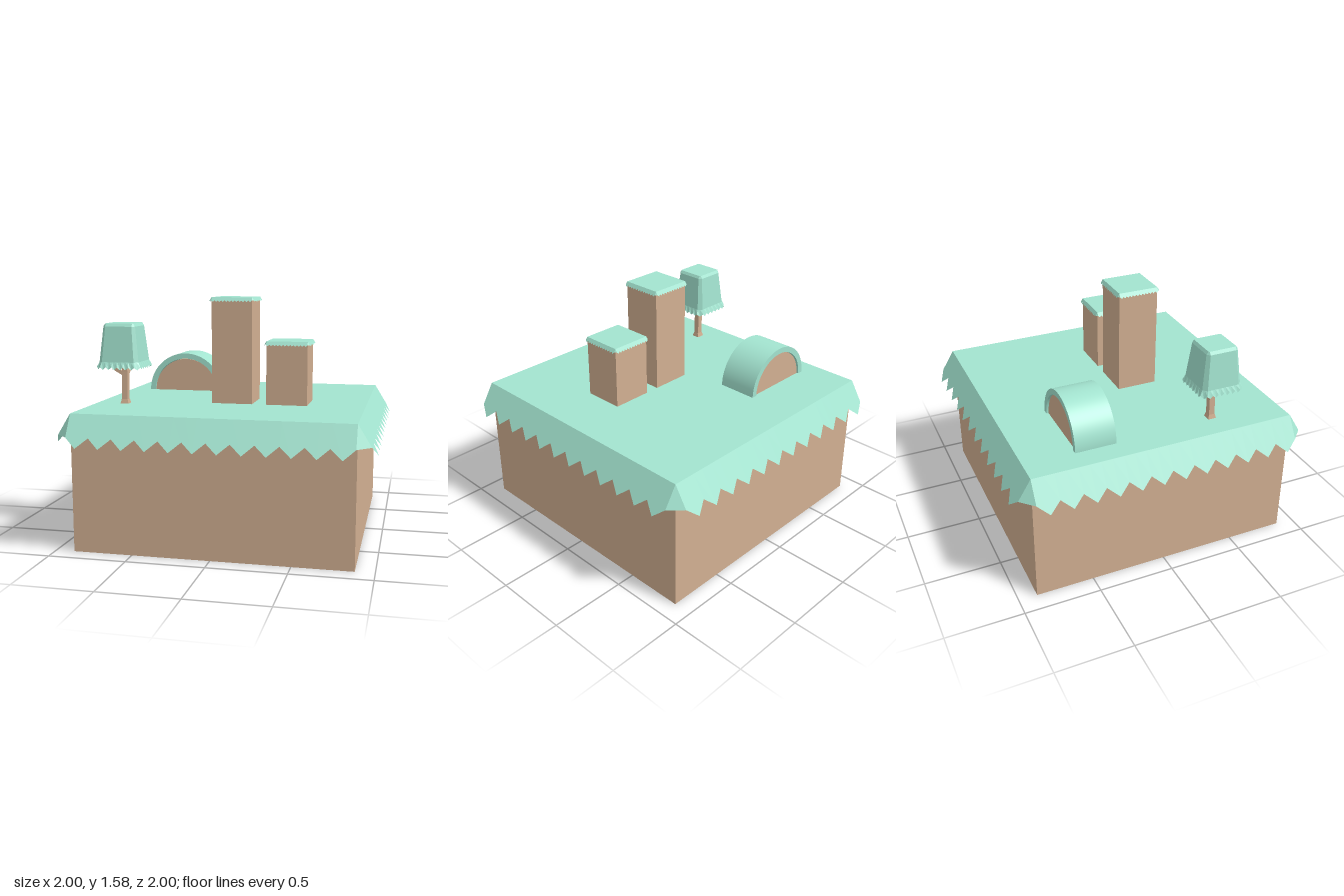
import * as THREE from 'three';
import { toCreasedNormals } from 'three/addons/utils/BufferGeometryUtils.js';

const soil = new THREE.MeshStandardMaterial({ color: 0xd2b092 });
const grass = new THREE.MeshStandardMaterial({ color: 0xa3e4d0, side: THREE.DoubleSide });
const HALF = 0.88;

function add(parent, name, geometry, material, x = 0, y = 0, z = 0) {
  const mesh = new THREE.Mesh(geometry, material);
  mesh.name = name;
  mesh.position.set(x, y, z);
  parent.add(mesh);
  return mesh;
}

// Unshared triangles give flat facets
function facets(points) {
  const g = new THREE.BufferGeometry().setFromPoints(points);
  g.computeVertexNormals();
  return g;
}

const quad = (out, tl, bl, br, tr) => out.push(tl, bl, br, tl, br, tr);

// Square turf sheet with a sloping zigzag skirt, top at y = 0
function turfGeometry() {
  const teeth = 12, steps = teeth * 2, pts = [];
  const v = (x, y, z) => new THREE.Vector3(x, y, z);
  const side = [];
  const rim = (i) => v(-HALF + (2 * HALF * i) / steps, 0, HALF);
  const hem = (i) => {
    const tip = i % 2 === 1;
    return v(rim(i).x, tip ? -0.195 : -0.135, HALF + (tip ? 0.12 : 0.083));
  };
  for (let i = 0; i < steps; i++) quad(side, rim(i), hem(i), hem(i + 1), rim(i + 1));
  // corner gusset
  side.push(v(HALF, 0, HALF), v(HALF, -0.135, HALF + 0.083), v(HALF + 0.083, -0.135, HALF));
  const up = v(0, 1, 0);
  for (let k = 0; k < 4; k++) {
    for (const p of side) pts.push(p.clone().applyAxisAngle(up, (k * Math.PI) / 2));
  }
  quad(pts, v(-HALF, 0, -HALF), v(-HALF, 0, HALF), v(HALF, 0, HALF), v(HALF, 0, -HALF));
  return facets(pts);
}

// Soil block covered with turf
function block(name, turf, half, bottom, top, x, z) {
  const group = new THREE.Group();
  group.name = name;
  const h = top - bottom - 0.002;
  add(group, name + 'Soil', new THREE.BoxGeometry(half * 2, h, half * 2), soil, x, bottom + h / 2, z);
  add(group, name + 'Turf', turf, grass, x, top, z).scale.setScalar(half / HALF);
  return group;
}

// Half-round mound: soil core under a curved turf band
function mound() {
  const group = new THREE.Group();
  group.name = 'mound';
  const band = new THREE.Shape();
  band.absarc(0, 0, 0.27, 0, Math.PI, false);
  band.absarc(0, 0, 0.232, Math.PI, 0, true);
  band.closePath();
  const core = new THREE.Shape();
  core.absarc(0, 0, 0.233, 0, Math.PI, false);
  core.closePath();
  const extrude = (shape, depth) =>
    toCreasedNormals(new THREE.ExtrudeGeometry(shape, { depth, bevelEnabled: false, curveSegments: 32 }), 0.5);
  add(group, 'moundTurf', extrude(band, 0.27), grass, -0.47, 0.885, -0.55);
  add(group, 'moundSoil', extrude(core, 0.24), soil, -0.47, 0.88, -0.535);
  return group;
}

// Chamfered square ring; zig lifts every second point into a fringe
function leafRing(half, flat, y, zig = 0) {
  const n = 12, ring = [], up = new THREE.Vector3(0, 1, 0);
  for (let k = 0; k < 4; k++) {
    const side = [];
    for (let i = 0; i <= n; i++) {
      side.push(new THREE.Vector3(-flat + (2 * flat * i) / n, y + (i % 2 ? 0 : zig), half));
    }
    const mid = (half + flat) / 2;
    side.push(new THREE.Vector3(mid, y, mid));
    for (const p of side) ring.push(p.applyAxisAngle(up, (k * Math.PI) / 2));
  }
  return ring;
}

function canopyGeometry() {
  const rings = [
    leafRing(0.096, 0.09, 1.413),
    leafRing(0.108, 0.089, 1.394),
    leafRing(0.133, 0.108, 1.165),
    leafRing(0.149, 0.116, 1.117, 0.016),
  ];
  const pts = [], n = rings[0].length, centre = new THREE.Vector3(0, 1.413, 0);
  for (let i = 0; i < n; i++) {
    const j = (i + 1) % n;
    pts.push(centre, rings[0][i], rings[0][j]);
    for (let r = 0; r < rings.length - 1; r++) {
      quad(pts, rings[r][i], rings[r + 1][i], rings[r + 1][j], rings[r][j]);
    }
  }
  return facets(pts);
}

// Square tapered limb between two points
function limb(parent, name, a, b, w0, w1) {
  const from = new THREE.Vector3(...a), to = new THREE.Vector3(...b);
  const dir = to.clone().sub(from);
  const g = new THREE.CylinderGeometry(w1 * Math.SQRT1_2, w0 * Math.SQRT1_2, dir.length(), 4).rotateY(Math.PI / 4);
  const mesh = add(parent, name, g.toNonIndexed(), soil);
  mesh.geometry.computeVertexNormals();
  mesh.position.copy(from).add(to).multiplyScalar(0.5);
  mesh.quaternion.setFromUnitVectors(new THREE.Vector3(0, 1, 0), dir.normalize());
}

function tree() {
  const group = new THREE.Group();
  group.name = 'tree';
  add(group, 'canopy', canopyGeometry(), grass);
  limb(group, 'trunkFoot', [0.003, 0.88, 0.003], [0.003, 0.91, 0.003], 0.056, 0.042);
  limb(group, 'trunk', [0.003, 0.905, 0.003], [0.005, 1.09, 0], 0.04, 0.037);
  limb(group, 'trunkTop', [0.005, 1.085, 0], [0.005, 1.18, 0.004], 0.037, 0.03);
  limb(group, 'leftBranch', [0, 1.075, 0], [-0.078, 1.115, 0], 0.026, 0.02);
  limb(group, 'leftTwig', [-0.073, 1.108, 0], [-0.088, 1.17, 0], 0.02, 0.016);
  limb(group, 'backBranch', [0.003, 1.062, 0], [0.003, 1.105, -0.082], 0.026, 0.02);
  limb(group, 'backTwig', [0.003, 1.098, -0.078], [0.003, 1.17, -0.094], 0.02, 0.016);
  group.position.set(-0.695, 0, 0.395);
  return group;
}

export function createModel() {
  const model = new THREE.Group();
  model.name = 'islandBlock';
  const turf = turfGeometry();
  model.add(
    block('base', turf, HALF, 0, 0.882, 0, 0),
    block('tallPillar', turf, 0.135, 0.88, 1.58, 0.005, 0.145),
    block('shortPillar', turf, 0.135, 0.88, 1.298, 0.37, 0.145),
    mound(),
    tree(),
  );
  return model;
}
